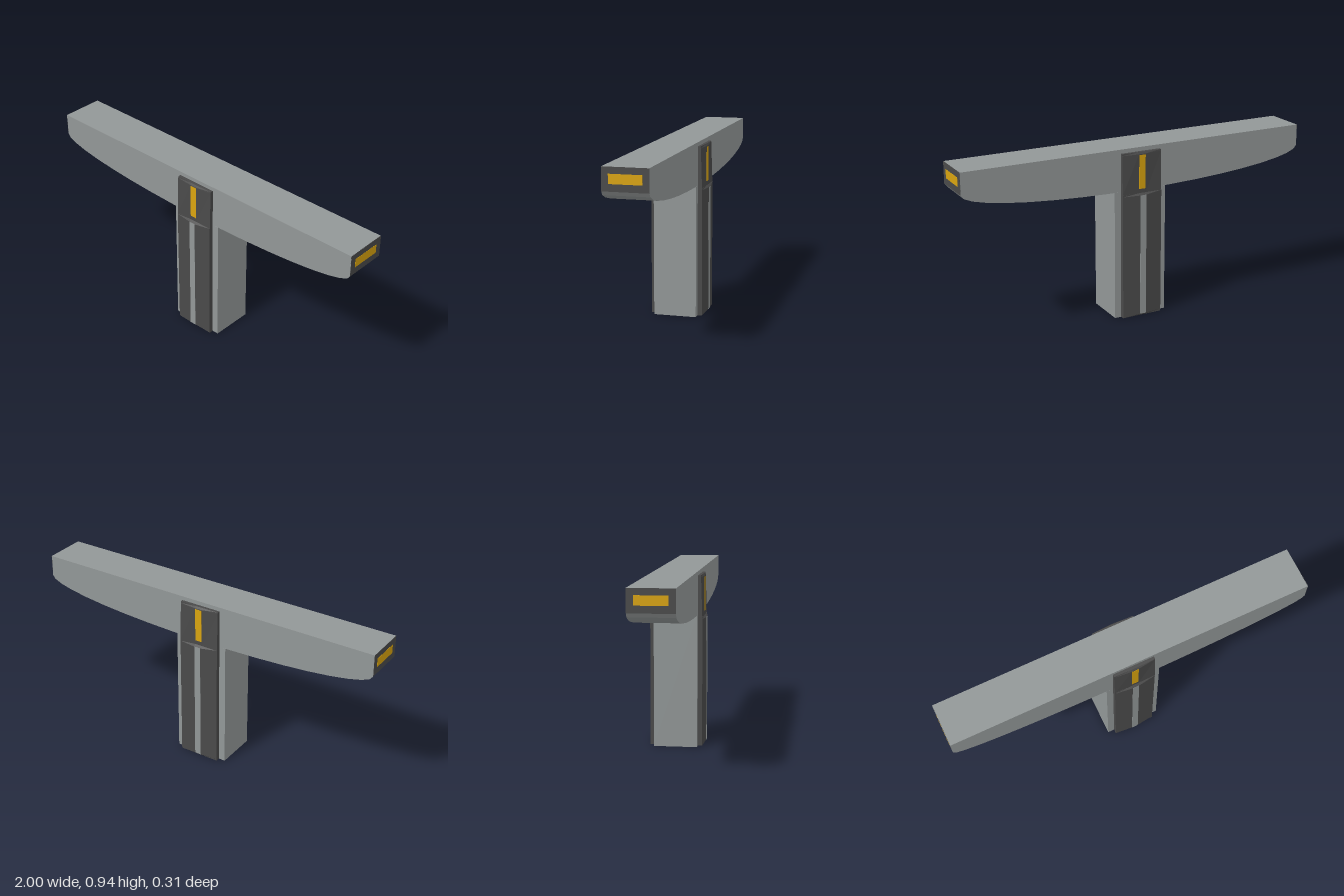
import * as THREE from 'three';

const mat = (color) => new THREE.MeshStandardMaterial({ color, flatShading: true });

export function createModel() {
  const model = new THREE.Group();
  const grey = mat(0x929797), dark = mat(0x4a4a4a), yellow = mat(0xd9a40f);

  const add = (parent, name, geometry, material) => {
    const mesh = new THREE.Mesh(geometry, material);
    mesh.name = name;
    parent.add(mesh);
    return mesh;
  };
  const box = (parent, name, material, size, pos) =>
    add(parent, name, new THREE.BoxGeometry(...size), material).position.set(...pos);

  // Cover with a ridged front, lofted through levels of [y, rim z, ridge z]
  const cover = (levels) => {
    const pos = [], index = [], n = 6;
    for (const [y, rim, ridge] of levels) {
      const ring = [[-0.115, 0.11], [-0.115, rim], [-0.02, ridge], [0.02, ridge], [0.115, rim], [0.115, 0.11]];
      for (const [x, z] of ring) pos.push(x, y, z);
    }
    const last = (levels.length - 1) * n;
    for (let l = 0; l < last; l += n) {
      for (let i = 0; i < n; i++) {
        const a = l + i, b = l + (i + 1) % n;
        index.push(a, b, b + n, a, b + n, a + n);
      }
    }
    for (let i = 1; i < n - 1; i++) {
      index.push(0, i + 1, i, last, last + i, last + i + 1);
    }
    const g = new THREE.BufferGeometry();
    g.setAttribute('position', new THREE.Float32BufferAttribute(pos, 3));
    g.setIndex(index);
    const flat = g.toNonIndexed();
    flat.computeVertexNormals();
    return flat;
  };

  // Beam: flat top and half-elliptical underside
  const depth = 0.232;
  const outline = new THREE.Shape();
  outline.moveTo(0.999, 0.942);
  outline.lineTo(-0.999, 0.942);
  const steps = 18;
  for (let i = 0; i <= steps; i++) {
    const a = Math.PI * (1 + i / steps);
    outline.lineTo(0.999 * Math.cos(a), 0.825 + 0.115 * Math.sin(a));
  }
  const beam = new THREE.ExtrudeGeometry(outline, { depth, bevelEnabled: false });
  beam.translate(0, 0, -depth / 2);
  add(model, 'beam', beam, grey);

  // Column
  box(model, 'column', grey, [0.304, 0.711, depth], [0, 0.3555, 0]);

  // Dark end panels with yellow lights
  for (const s of [-1, 1]) {
    box(model, 'endPanel', dark, [0.002, 0.117, depth], [s * 0.9985, 0.8835, 0]);
    box(model, 'endLight', yellow, [0.002, 0.048, 0.165], [s * 0.9995, 0.885, 0]);
  }

  // Covers and stripes on the front and back
  for (const turn of [0, Math.PI]) {
    const side = new THREE.Group();
    side.name = turn ? 'backCover' : 'frontCover';
    side.rotation.y = turn;
    add(side, 'lowerCover', cover([[0, 0.14, 0.14], [0.012, 0.14, 0.152], [0.688, 0.14, 0.152], [0.698, 0.14, 0.14]]), dark);
    add(side, 'upperCover', cover([[0.698, 0.139, 0.14], [0.91, 0.132, 0.14], [0.92, 0.131, 0.133]]), dark);
    box(side, 'lowerStripe', grey, [0.036, 0.676, 0.004], [0, 0.35, 0.151]);
    box(side, 'upperLight', yellow, [0.038, 0.185, 0.004], [0, 0.813, 0.139]);
    model.add(side);
  }
  return model;
}
